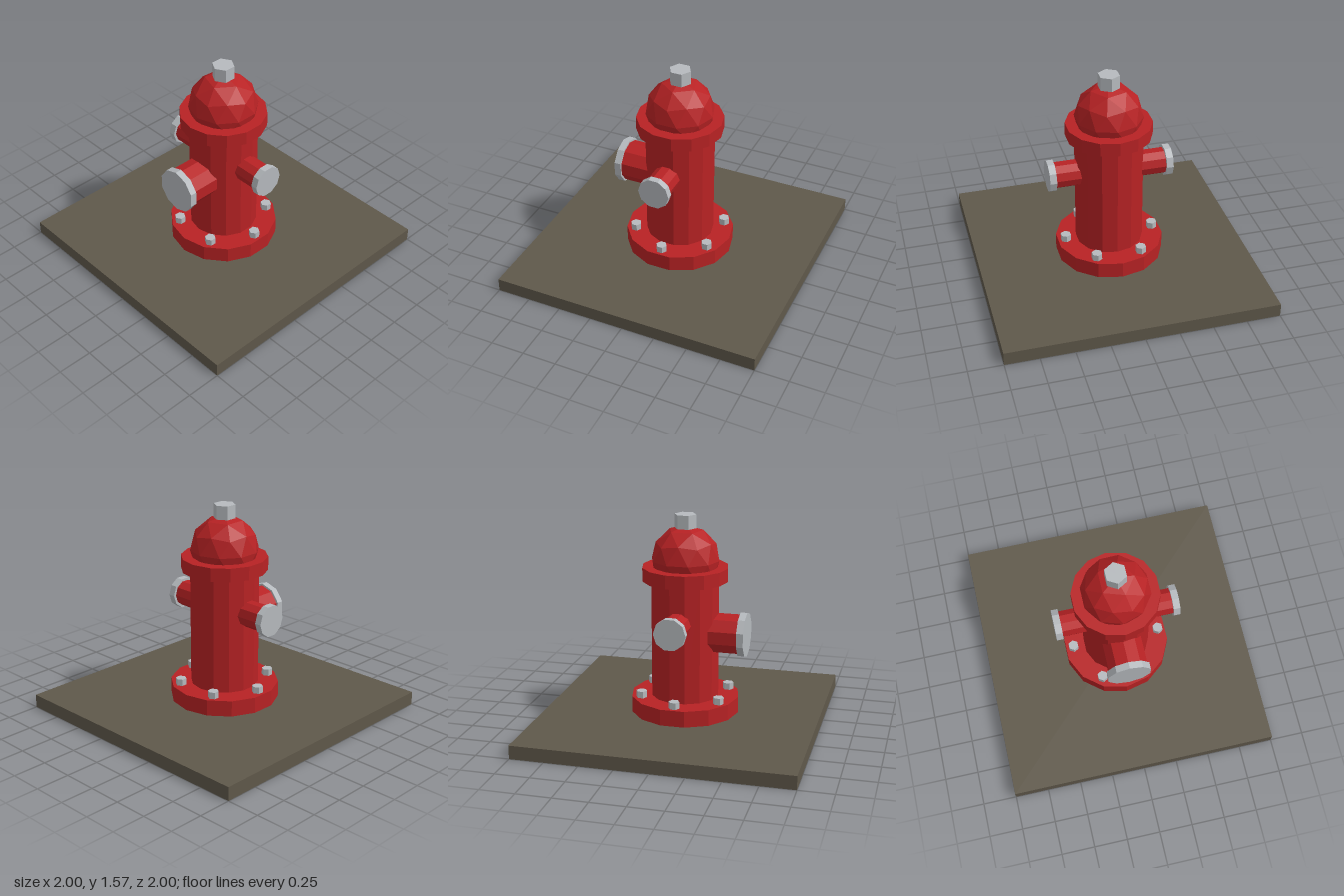
import * as THREE from 'three';

const red = new THREE.MeshStandardMaterial({ color: 0xb82224 });
red.name = 'red paint';
const metal = new THREE.MeshStandardMaterial({ color: 0xb6babe });
metal.name = 'bare metal';
const ground = new THREE.MeshStandardMaterial({ color: 0x5f584a });
ground.name = 'ground brown';

// Faceted normals, one per face
function faceted(geometry) {
  const flat = geometry.index ? geometry.toNonIndexed() : geometry;
  flat.computeVertexNormals();
  return flat;
}

function part(parent, name, geometry, material, x = 0, y = 0, z = 0) {
  const mesh = new THREE.Mesh(faceted(geometry), material);
  mesh.name = name;
  mesh.position.set(x, y, z);
  parent.add(mesh);
  return mesh;
}

// Upright prism standing between two heights
function prism(parent, name, radius, sides, y0, y1, material, x = 0, z = 0) {
  const geometry = new THREE.CylinderGeometry(radius, radius, y1 - y0, sides);
  return part(parent, name, geometry, material, x, (y0 + y1) / 2, z);
}

// Ten-sided pipe with a metal cap, pointing along +x, -x or +z
function outlet(parent, name, pipeRadius, capRadius, height, dx, dz) {
  const group = new THREE.Group();
  group.name = name;
  const piece = (label, radius, from, to, material) => {
    const geometry = new THREE.CylinderGeometry(radius, radius, to - from, 10);
    if (dx) geometry.rotateZ(-dx * Math.PI / 2);
    else geometry.rotateX(dz * Math.PI / 2);
    const mid = (from + to) / 2;
    part(group, label, geometry, material, dx * mid, height, dz * mid);
  };
  piece('pipe', pipeRadius, 0.1, 0.41, red);
  piece('cap', capRadius, 0.41, 0.46, metal);
  parent.add(group);
}

export function createModel() {
  const model = new THREE.Group();
  model.name = 'hydrant';

  part(model, 'groundSlab', new THREE.BoxGeometry(2, 0.1, 2), ground, 0, 0.05, 0);

  // Barrel with its flanges
  prism(model, 'baseFlange', 0.4, 14, 0.1, 0.22, red);
  prism(model, 'barrel', 0.25, 14, 0.22, 1.09, red);
  prism(model, 'collar', 0.315, 14, 1.09, 1.19, red);

  // Faceted dome, turned so one corner points straight up
  const dome = new THREE.IcosahedronGeometry(0.25, 1);
  dome.rotateZ(-Math.atan2(2, 1 + Math.sqrt(5)));
  part(model, 'dome', dome, red, 0, 1.24, 0);
  prism(model, 'topNut', 0.08, 6, 1.47, 1.57, metal);

  // Outlets
  outlet(model, 'frontOutlet', 0.15, 0.165, 0.705, 0, 1);
  outlet(model, 'leftOutlet', 0.0975, 0.117, 0.805, 1, 0);
  outlet(model, 'rightOutlet', 0.0975, 0.117, 0.805, -1, 0);

  // Ring of bolts on the base flange
  for (let i = 0; i < 6; i++) {
    const a = i * Math.PI / 3;
    prism(model, 'baseBolt', 0.04, 6, 0.22, 0.27, metal, 0.333 * Math.cos(a), 0.333 * Math.sin(a));
  }

  return model;
}
